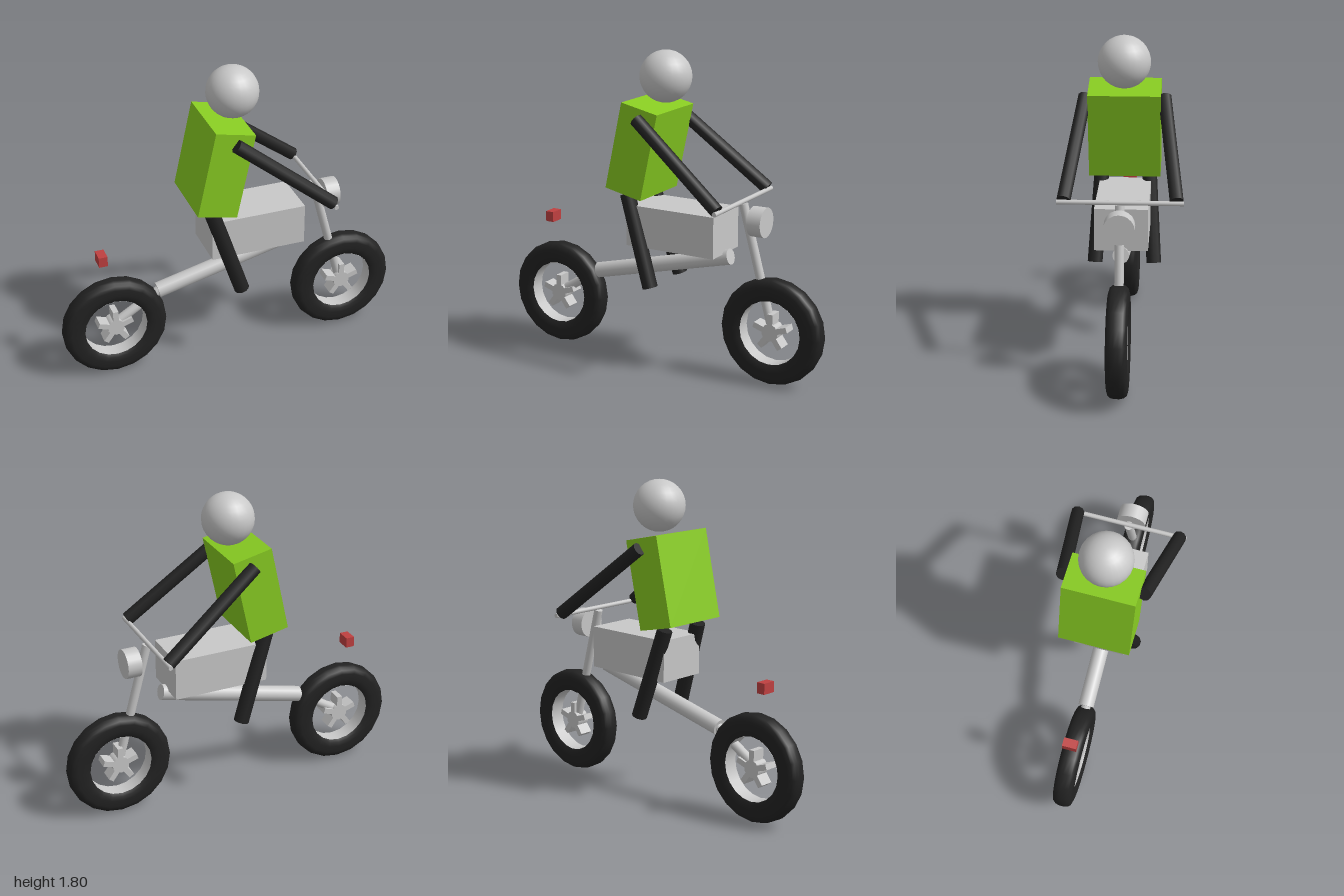
import * as THREE from 'three';

const mat = (name, color, side = THREE.FrontSide) => {
  const m = new THREE.MeshStandardMaterial({ color, side });
  m.name = name;
  return m;
};

export function createModel() {
  const grey = mat('light grey', 0xc8c8c8);
  grey.side = THREE.DoubleSide; // the rim is an open band
  const black = mat('black', 0x222222);
  const green = mat('green', 0x88cc22);
  const red = mat('red', 0xbf4040);

  const model = new THREE.Group();
  model.name = 'motorcycleWithRider';

  const add = (name, geometry, material, x = 0, y = 0, z = 0, parent = model) => {
    const mesh = new THREE.Mesh(geometry, material);
    mesh.name = name;
    mesh.position.set(x, y, z);
    parent.add(mesh);
    return mesh;
  };

  // Round bar between two points
  const bar = (name, from, to, radius, material, sides = 12) => {
    const a = new THREE.Vector3(...from), b = new THREE.Vector3(...to);
    const dir = b.clone().sub(a);
    const mesh = add(name, new THREE.CylinderGeometry(radius, radius, dir.length(), sides), material);
    mesh.position.copy(a).add(b).multiplyScalar(0.5);
    mesh.quaternion.setFromUnitVectors(new THREE.Vector3(0, 1, 0), dir.normalize());
    return mesh;
  };

  // Wheels: rounded tyre, open rim band, hub and five short spokes
  const tyreProfile = [
    [0.182, -0.042], [0.2, -0.053], [0.225, -0.057], [0.262, -0.056], [0.285, -0.049], [0.298, -0.034], [0.303, -0.013],
  ];
  const section = [...tyreProfile, ...tyreProfile.slice().reverse().map(([r, y]) => [r, -y])]
    .map(([r, y]) => new THREE.Vector2(r, y));
  const tyreGeo = new THREE.LatheGeometry(section, 20).rotateX(Math.PI / 2);
  const rimGeo = new THREE.CylinderGeometry(0.182, 0.182, 0.086, 20, 1, true).rotateX(Math.PI / 2);
  const hubGeo = new THREE.CylinderGeometry(0.05, 0.05, 0.08, 10).rotateX(Math.PI / 2);
  const spokeGeo = new THREE.BoxGeometry(0.032, 0.105, 0.08).translate(0, 0.0525, 0);
  for (const [name, x] of [['rearWheel', -0.695], ['frontWheel', 0.695]]) {
    const wheel = new THREE.Group();
    wheel.name = name;
    wheel.position.set(x, 0.306, 0);
    model.add(wheel);
    add('tyre', tyreGeo, black, 0, 0, 0, wheel);
    add('rim', rimGeo, grey, 0, 0, 0, wheel);
    add('hub', hubGeo, grey, 0, 0, 0, wheel);
    for (let i = 0; i < 5; i++) {
      add('spoke', spokeGeo, grey, 0, 0, 0, wheel).rotation.z = (i * Math.PI * 2) / 5;
    }
  }

  // Frame, fork and handlebar
  bar('frameTube', [-0.433, 0.476, 0], [0.43, 0.69, 0], 0.045, grey, 16);
  bar('swingArm', [-0.695, 0.31, 0], [-0.42, 0.48, 0], 0.027, grey);
  bar('frontFork', [0.505, 1.0, 0], [0.692, 0.31, 0], 0.025, grey);
  bar('handlebar', [0.504, 1.015, -0.335], [0.504, 1.015, 0.335], 0.013, grey);
  bar('headlight', [0.564, 0.912, 0], [0.645, 0.912, 0], 0.083, grey, 20);

  // Body and tail light
  add('bodyBlock', new THREE.BoxGeometry(0.55, 0.235, 0.29), grey, 0.123, 0.823, 0);
  add('tailLight', new THREE.BoxGeometry(0.05, 0.06, 0.08), red, -0.75, 0.762, 0);

  // Rider
  add('torso', new THREE.BoxGeometry(0.23, 0.5, 0.4), green, -0.088, 1.257, 0).rotation.z = -0.215;
  add('head', new THREE.SphereGeometry(0.145, 24, 16), grey, 0.017, 1.655, 0);
  for (const [side, s] of [['left', 1], ['right', -1]]) {
    // the rider faces +x, so the -z side is the rider's left
    const label = side === 'left' ? 'nearSide' : 'farSide';
    bar(label + 'Arm', [-0.04, 1.445, s * 0.22], [0.5, 1.025, s * 0.297], 0.038, black, 10);
    bar(label + 'Leg', [-0.15, 1.0, s * 0.134], [0.014, 0.488, s * 0.167], 0.043, black, 10);
  }

  return model;
}
